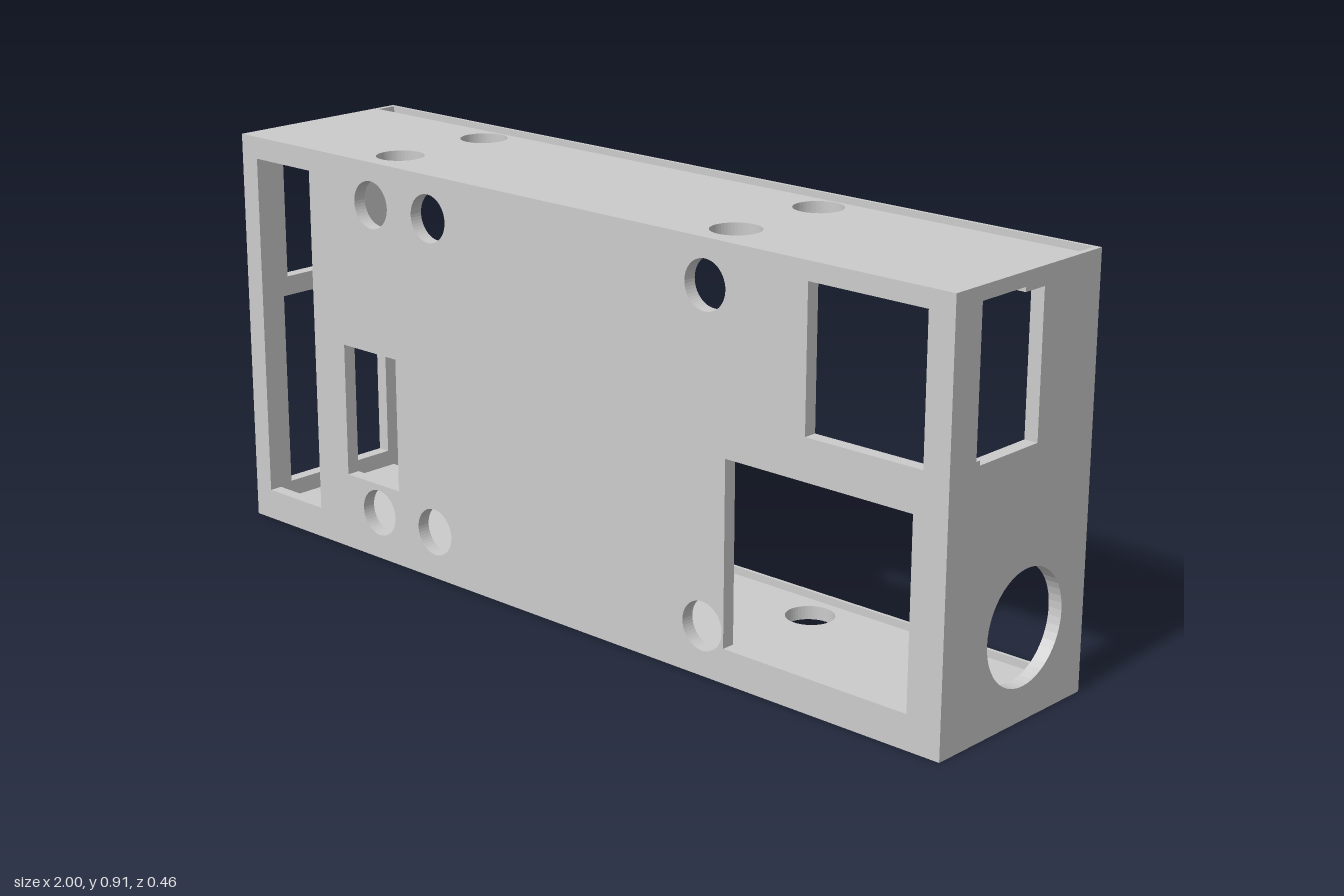
import * as THREE from 'three';

const H = 0.91, D = 0.228;      // height, half depth
const T = 0.03;                 // wall thickness
const SLOT_F = -0.172, SLOT_B = -0.22, SLOT_X = 0.987; // lid slot
const HOLE_R = 0.053;

const material = new THREE.MeshStandardMaterial({ color: 0xcccccc });

const polygon = (points) => new THREE.Path(points.map(([x, y]) => new THREE.Vector2(x, y)));
const rect = (x0, y0, x1, y1) => polygon([[x0, y0], [x1, y0], [x1, y1], [x0, y1]]);
const circle = (x, y, r = HOLE_R) => new THREE.Path().absarc(x, y, r, 0, Math.PI * 2);

// Flat plate with cut-outs, extruded along +z
function plate(outline, holes, depth) {
  const shape = new THREE.Shape(outline.getPoints());
  shape.holes.push(...holes);
  return new THREE.ExtrudeGeometry(shape, { depth, bevelEnabled: false, curveSegments: 24 });
}

export function createModel() {
  const group = new THREE.Group();
  const add = (name, geometry) => {
    const mesh = new THREE.Mesh(geometry, material);
    mesh.name = name;
    group.add(mesh);
  };

  // Front panel with connector windows and round holes
  const frontHoles = [
    rect(-0.95, 0.07, -0.77, 0.86),
    rect(-0.67, 0.175, -0.5, 0.48),
    rect(0.66, 0.565, 0.94, 0.87),
    rect(0.46, 0.075, 0.92, 0.475),
  ];
  for (const x of [-0.567, -0.385, 0.403])
    for (const y of [0.108, 0.815]) frontHoles.push(circle(x, y));
  add('frontPanel', plate(rect(-1, 0, 1, H), frontHoles, T).translate(0, 0, D - T));

  // Side walls, drawn in (z, y)
  const side = (name, x, holes) => add(name,
    plate(rect(SLOT_F, 0, D - T, H), holes, T).rotateY(-Math.PI / 2).translate(x, 0, 0));
  side('leftWall', 1, [
    polygon([[-0.045, 0.565], [0.137, 0.565], [0.137, 0.575], [0.148, 0.575],
      [0.148, 0.88], [0.015, 0.88], [0.015, 0.87], [-0.045, 0.87]]),
    circle(-0.032, 0.195, 0.122),
  ]);
  side('rightWall', -1 + T, [
    rect(-0.045, 0.565, 0.137, 0.87),
    rect(-0.155, 0.068, 0.15, 0.52),
  ]);

  // Top and bottom walls, drawn in (x, -z)
  const level = (name, y, rows) => {
    const holes = rows.flatMap((z) => [-0.567, 0.403].map((x) => circle(x, -z)));
    add(name, plate(rect(-1 + T, -(D - T), 1 - T, -SLOT_F), holes, T)
      .rotateX(-Math.PI / 2).translate(0, y, 0));
  };
  level('topWall', H - T, [-0.113, 0.138]);
  level('bottomWall', 0, [-0.113]);

  // U-shaped channel for a sliding back lid, open at the top
  const base = 1 - SLOT_X;
  add('lidChannel', plate(polygon([[-1, 0], [1, 0], [1, H], [SLOT_X, H], [SLOT_X, base],
    [-SLOT_X, base], [-SLOT_X, H], [-1, H]]), [], SLOT_F - SLOT_B).translate(0, 0, SLOT_B));

  // Thin rear lip that retains the lid
  add('rearLip', plate(rect(-1, 0, 1, H), [rect(-1 + T, T, 1 - T, H - T)], SLOT_B + D)
    .translate(0, 0, -D));

  return group;
}
